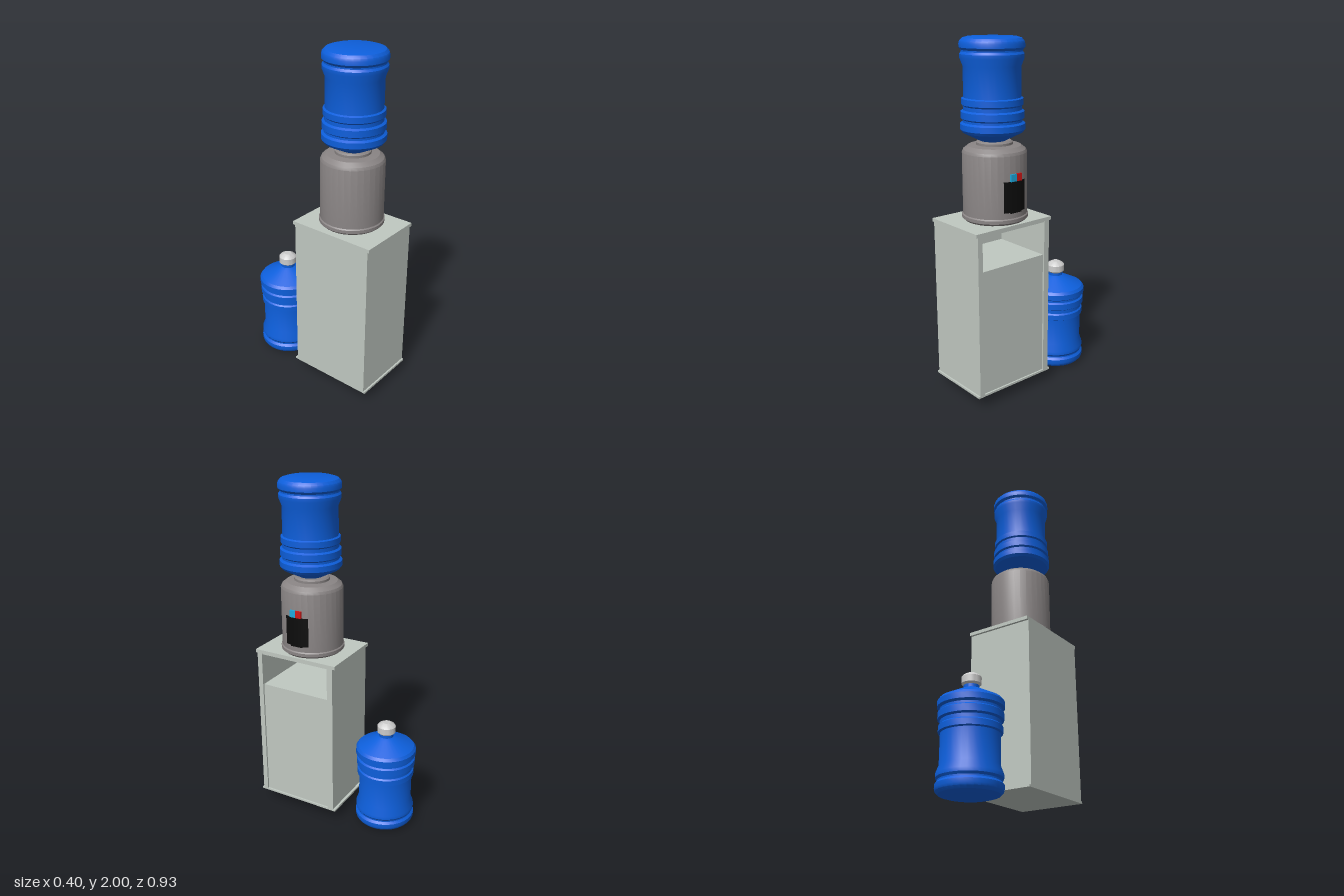
import * as THREE from 'three';
import { toCreasedNormals } from 'three/addons/utils/BufferGeometryUtils.js';

const mat = (color) => new THREE.MeshStandardMaterial({ color });
const GREY = mat(0xcccccc);
const BLUE = mat(0x0d5fdc);
const CABINET = mat(0xc0c8c1);
const STEEL = mat(0x8a8585);
const BLACK = mat(0x0c0c0c);
const CYAN = mat(0x1fa8dc);
const RED = mat(0xd01818);

// Radius/height pairs, bottom to top, turned about the y axis
function lathe(name, profile, material) {
  const points = profile.map(([r, y]) => new THREE.Vector2(r, y));
  const geometry = toCreasedNormals(new THREE.LatheGeometry(points, 32), 0.45);
  const mesh = new THREE.Mesh(geometry, material);
  mesh.name = name;
  return mesh;
}

// Box given by its limits on each axis
function box(name, [x0, x1], [y0, y1], [z0, z1], material) {
  const mesh = new THREE.Mesh(new THREE.BoxGeometry(x1 - x0, y1 - y0, z1 - z0), material);
  mesh.position.set((x0 + x1) / 2, (y0 + y1) / 2, (z0 + z1) / 2);
  mesh.name = name;
  return mesh;
}

// Ribbed water bottle, standing on its base
function createBottle(name) {
  const bottle = new THREE.Group();
  bottle.name = name;
  bottle.add(lathe('bottleBody', [
    [0, 0], [0.13, 0], [0.157, 0.008], [0.17, 0.022], [0.174, 0.035],
    [0.174, 0.055], [0.163, 0.068], [0.163, 0.076], [0.171, 0.088],
    [0.171, 0.108], [0.155, 0.15], [0.155, 0.312],
    [0.166, 0.318], [0.166, 0.35], [0.158, 0.358], [0.158, 0.378],
    [0.171, 0.386], [0.171, 0.422], [0.161, 0.43], [0.161, 0.442],
    [0.175, 0.451], [0.175, 0.482], [0.163, 0.498],
    [0.06, 0.55], [0.042, 0.558], [0.042, 0.59], [0, 0.59],
  ], BLUE));
  return bottle;
}

function createCabinet() {
  const cabinet = new THREE.Group();
  cabinet.name = 'cabinet';
  const y = [0.08, 1.0];
  const inner = [-0.01, 0.425];
  cabinet.add(
    box('topBoard', [-0.2, 0.2], [1.0, 1.02], [-0.06, 0.465], CABINET),
    box('bottomBoard', [-0.2, 0.2], [0.068, 0.08], [-0.06, 0.465], CABINET),
    box('frontPanel', [-0.2, 0.2], y, [0.425, 0.455], CABINET),
    box('rearPanel', [-0.2, 0.2], y, [-0.045, -0.01], CABINET),
    box('closedSide', [-0.2, -0.18], y, inner, CABINET),
    box('shelf', [-0.18, 0.19], [0.785, 0.8], inner, CABINET),
    box('door', [0.175, 0.19], [0.08, 0.785], inner, CABINET),
    box('openingHeader', [-0.18, 0.195], [0.993, 1.0], inner, CABINET),
  );
  return cabinet;
}

function createDispenser() {
  const dispenser = new THREE.Group();
  dispenser.name = 'dispenser';
  dispenser.add(lathe('dispenserBody', [
    [0, 0], [0.17, 0], [0.183, 0.012], [0.183, 0.03], [0.177, 0.036],
    [0.177, 0.375], [0.17, 0.39], [0.145, 0.41], [0.1, 0.415],
    [0.1, 0.428], [0.09, 0.435], [0.06, 0.435], [0.05, 0.42], [0, 0.42],
  ], STEEL));

  // Curved black recess panel facing the open side of the cabinet
  const half = 0.41;
  const panel = new THREE.Mesh(
    new THREE.CylinderGeometry(0.18, 0.18, 0.17, 10, 1, true, Math.PI / 2 - half, half * 2),
    new THREE.MeshStandardMaterial({ color: 0x0c0c0c, side: THREE.DoubleSide }));
  panel.position.y = 0.155;
  panel.name = 'tapPanel';
  dispenser.add(
    panel,
    box('coldTap', [0.16, 0.186], [0.24, 0.28], [0, 0.036], CYAN),
    box('hotTap', [0.16, 0.186], [0.24, 0.28], [-0.036, 0], RED),
    box('dripLedge', [0.15, 0.181], [0.066, 0.075], [-0.036, 0.036], BLACK),
  );
  dispenser.position.set(0.012, 1.02, 0.19);
  return dispenser;
}

export function createModel() {
  const model = new THREE.Group();
  model.name = 'waterCooler';
  model.add(createCabinet(), createDispenser());

  // Bottle in use, upside down on the dispenser
  const mounted = createBottle('mountedBottle');
  mounted.rotation.x = Math.PI;
  mounted.position.set(0.008, 2, 0.197);

  // Spare bottle on the floor, with its cap
  const spare = createBottle('spareBottle');
  spare.add(lathe('cap', [
    [0, 0.575], [0.042, 0.575], [0.053, 0.585], [0.053, 0.622],
    [0.045, 0.632], [0.022, 0.645], [0, 0.645],
  ], GREY));
  spare.position.set(0, 0, -0.291);

  model.add(mounted, spare);
  return model;
}
